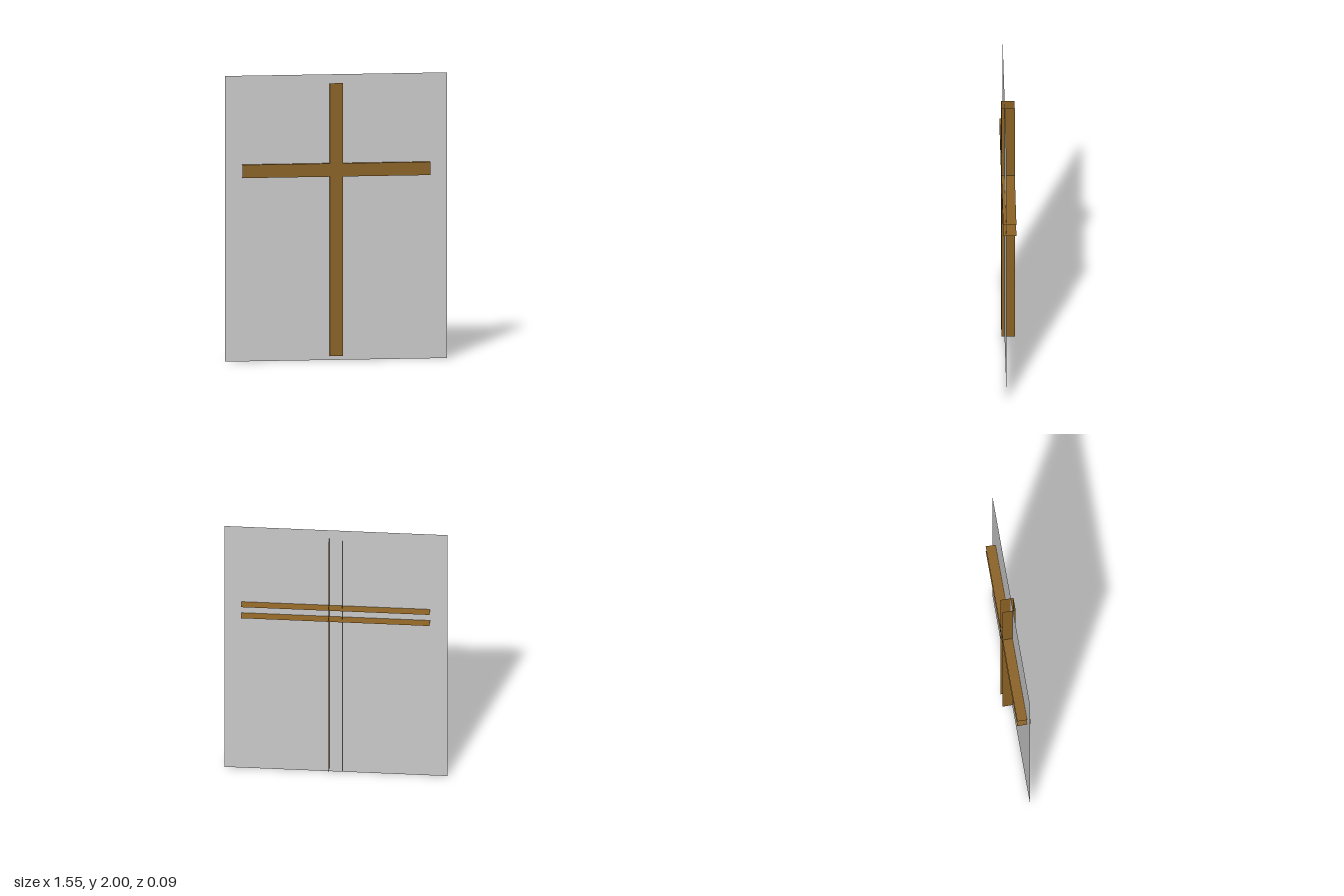
import * as THREE from 'three';

const wood = new THREE.MeshStandardMaterial({ color: 0x8c6325, side: THREE.DoubleSide });
const grey = new THREE.MeshStandardMaterial({ color: 0xcccccc, side: THREE.DoubleSide });

const HALF = 0.046; // half the beam thickness

function sheet(name, w, h, material, x, y, z) {
  const mesh = new THREE.Mesh(new THREE.PlaneGeometry(w, h), material);
  mesh.name = name;
  mesh.position.set(x, y, z);
  return mesh;
}

// Beam with a front face and two long sides; its ends and back are open
function beam(name, length) {
  const group = new THREE.Group();
  group.name = name;
  group.add(sheet(name + 'Front', 2 * HALF, length, wood, 0, 0, HALF));
  for (const s of [-1, 1]) {
    const side = sheet(name + 'Side', 2 * HALF, length, wood, s * HALF, 0, 0);
    side.rotation.y = s * Math.PI / 2;
    group.add(side);
  }
  return group;
}

export function createModel() {
  const model = new THREE.Group();
  model.name = 'crossOnPanel';

  // Thin panel cutting through the beams just behind their front faces
  model.add(sheet('backPanel', 1.55, 2, grey, 0, 1, 0.024));

  // Upright
  const upright = beam('upright', 1.91);
  upright.position.y = 0.985;
  model.add(upright);

  // Crossbar
  const crossbar = beam('crossbar', 1.31);
  crossbar.rotation.z = Math.PI / 2;
  crossbar.position.y = 1.332;
  model.add(crossbar);

  return model;
}
